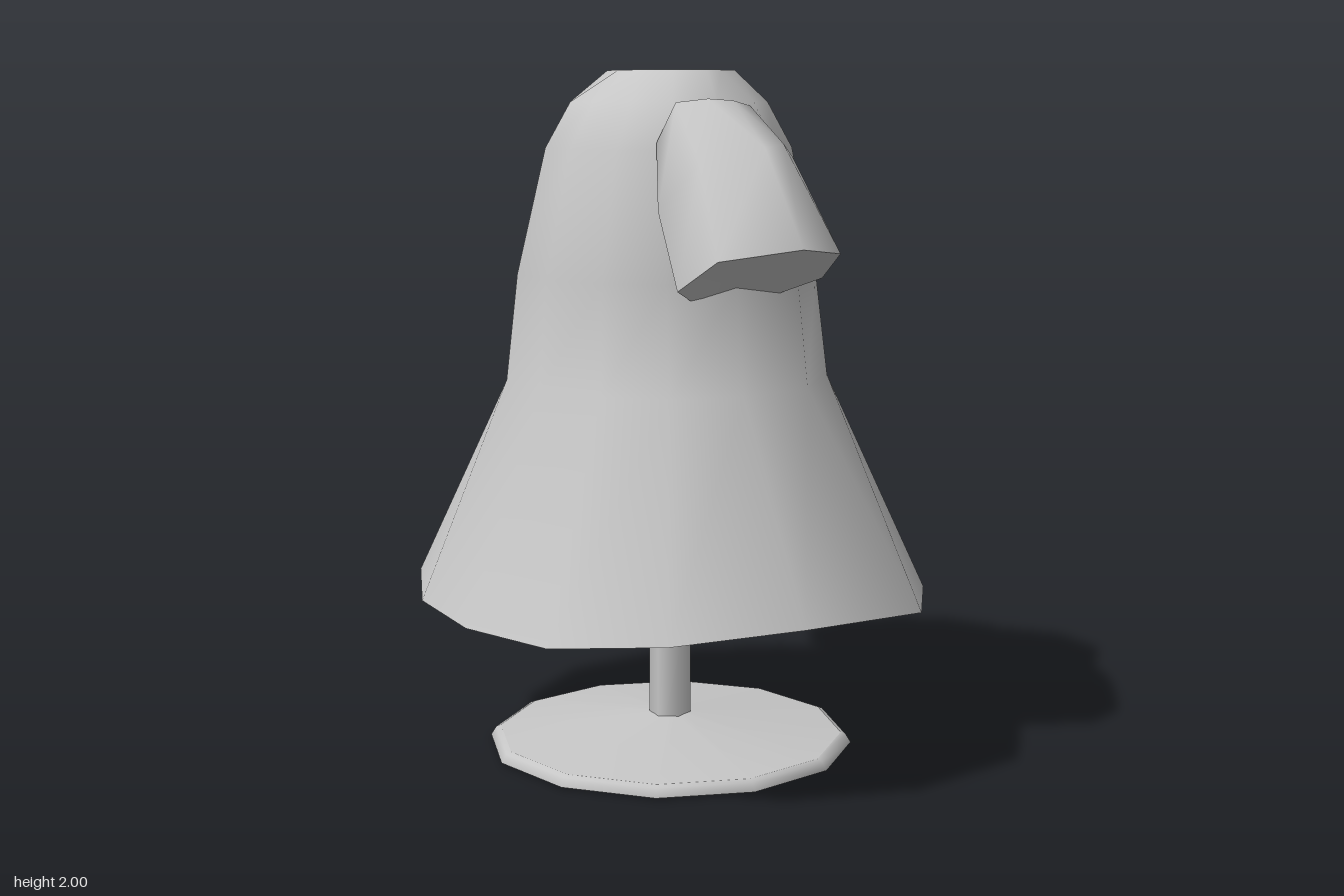
import * as THREE from 'three';
import { mergeVertices } from 'three/addons/utils/BufferGeometryUtils.js';

// Two-sided, as the neck and foot are open shells
const grey = new THREE.MeshStandardMaterial({ color: 0xc6c6c6, side: THREE.DoubleSide });
grey.name = 'grey';

function mesh(name, geometry) {
  const m = new THREE.Mesh(geometry, grey);
  m.name = name;
  return m;
}

// Smooth skin through matching rings of points
function loft(rings) {
  const n = rings[0].length;
  const index = [];
  for (let i = 0; i < rings.length - 1; i++) {
    for (let j = 0; j < n; j++) {
      const k = (j + 1) % n;
      const a = i * n + j, b = i * n + k, c = a + n, d = b + n;
      index.push(a, c, b, b, c, d);
    }
  }
  const g = new THREE.BufferGeometry();
  g.setAttribute('position', new THREE.Float32BufferAttribute(rings.flat(2), 3));
  g.setIndex(index);
  g.computeVertexNormals();
  return g;
}

// Smooth fan closing a ring, with its centre raised by lift
function cap(ring, flip, lift) {
  const c = [0, 1, 2].map((k) => ring.reduce((s, p) => s + p[k], 0) / ring.length);
  c[1] += lift;
  const points = ring.flatMap((p, j) => {
    const q = ring[(j + 1) % ring.length];
    return flip ? [c, q, p] : [c, p, q];
  });
  const g = new THREE.BufferGeometry();
  g.setAttribute('position', new THREE.Float32BufferAttribute(points.flat(), 3));
  const merged = mergeVertices(g);
  merged.computeVertexNormals();
  return merged;
}

const mix = (a, b, t) => a.map((v, k) => v + (b[k] - v) * t);

function createDress() {
  const dress = new THREE.Group();
  dress.name = 'dress';

  // Uneven twelve-sided hem
  const hem = [
    [0.705, 0.535, 0.40], [0.45, 0.51, 0.67], [0.13, 0.48, 0.77], [-0.21, 0.47, 0.695],
    [-0.52, 0.47, 0.52], [-0.75, 0.485, 0.26], [-0.83, 0.51, -0.07], [-0.72, 0.49, -0.43],
    [-0.41, 0.47, -0.745], [0.09, 0.465, -0.77], [0.60, 0.465, -0.48], [0.825, 0.51, -0.03],
  ];

  // Rounded ring with separate reach on each side, aligned with the hem corners
  const ring = (y, left, right, front, back) => hem.map(([x, , z]) => {
    const a = Math.atan2(z, x), c = Math.cos(a), s = Math.sin(a);
    return [c * (c > 0 ? left : right), y, s * (s > 0 ? front : back)];
  });

  // Six-cornered open neck, with extra points along its edges
  const n = [
    [0.19, 2, 0.095], [0.015, 2, 0.17], [-0.18, 2, 0.055],
    [-0.20, 2, -0.13], [-0.03, 2, -0.205], [0.165, 2, -0.09],
  ];
  const neck = [
    n[0], mix(n[0], n[1], 0.5), n[1], mix(n[1], n[2], 0.33), mix(n[1], n[2], 0.67), n[2],
    mix(n[2], n[3], 0.5), n[3], mix(n[3], n[4], 0.5), n[4], n[5], mix(n[5], n[0], 0.5),
  ];

  dress.add(mesh('dressBody', loft([
    hem,
    ring(1.11, 0.46, 0.50, 0.455, 0.485),
    ring(1.42, 0.425, 0.45, 0.44, 0.44),
    ring(1.78, 0.35, 0.37, 0.35, 0.37),
    ring(1.91, 0.28, 0.31, 0.26, 0.295),
    neck,
  ])));
  dress.add(mesh('hemUnderside', cap(hem, false, 0.08)));

  // Sleeve rings: shoulder, elbow bend, opening
  const sleeveRings = [
    [[0.25, 1.92, 0.18], [0.28, 1.915, 0.10], [0.28, 1.90, 0.01], [0.28, 1.78, -0.01],
      [0.15, 1.70, 0.05], [0.12, 1.70, 0.18], [0.16, 1.80, 0.30], [0.18, 1.91, 0.235]],
    [[0.49, 1.79, 0.27], [0.48, 1.80, 0.16], [0.42, 1.76, 0.01], [0.34, 1.58, 0.01],
      [0.22, 1.50, 0.12], [0.20, 1.50, 0.26], [0.22, 1.62, 0.38], [0.34, 1.75, 0.36]],
    [[0.64, 1.53, 0.32], [0.655, 1.51, 0.15], [0.53, 1.43, 0.03], [0.40, 1.38, 0.06],
      [0.29, 1.37, 0.20], [0.28, 1.37, 0.30], [0.31, 1.41, 0.42], [0.47, 1.50, 0.47]],
  ];
  for (const side of ['left', 'right']) {
    const sleeve = new THREE.Group();
    sleeve.name = side + 'Sleeve';
    sleeve.add(mesh(side + 'SleeveCloth', loft(sleeveRings)));
    sleeve.add(mesh(side + 'SleeveOpening', cap(sleeveRings[2], true, 0.01)));
    if (side === 'right') {
      sleeve.rotation.y = Math.PI;
      sleeve.position.set(-0.015, -0.01, -0.04);
    }
    dress.add(sleeve);
  }
  return dress;
}

function createStand() {
  const stand = new THREE.Group();
  stand.name = 'stand';
  stand.position.set(-0.005, 0, -0.01);

  // Twelve-sided hollow foot with a rim and a shallow conical top
  const rim = new THREE.LatheGeometry([
    new THREE.Vector2(0.535, 0.002), new THREE.Vector2(0.545, 0.006),
    new THREE.Vector2(0.53, 0.03), new THREE.Vector2(0.515, 0.036),
  ], 12);
  const top = new THREE.CylinderGeometry(0.05, 0.515, 0.056, 12, 1, true);
  top.translate(0, 0.064, 0);
  stand.add(mesh('footRim', rim), mesh('footTop', top));

  // Six-sided pole reaching up inside the dress
  const pole = new THREE.CylinderGeometry(0.062, 0.062, 0.7, 6);
  pole.translate(0, 0.35, 0);
  stand.add(mesh('pole', pole));

  // Rounded form filling the neck opening
  const form = new THREE.SphereGeometry(0.24, 16, 10);
  form.translate(0, 1.72, -0.01);
  stand.add(mesh('dressForm', form));
  return stand;
}

export function createModel() {
  const model = new THREE.Group();
  model.name = 'dressOnStand';
  model.add(createStand(), createDress());
  return model;
}
